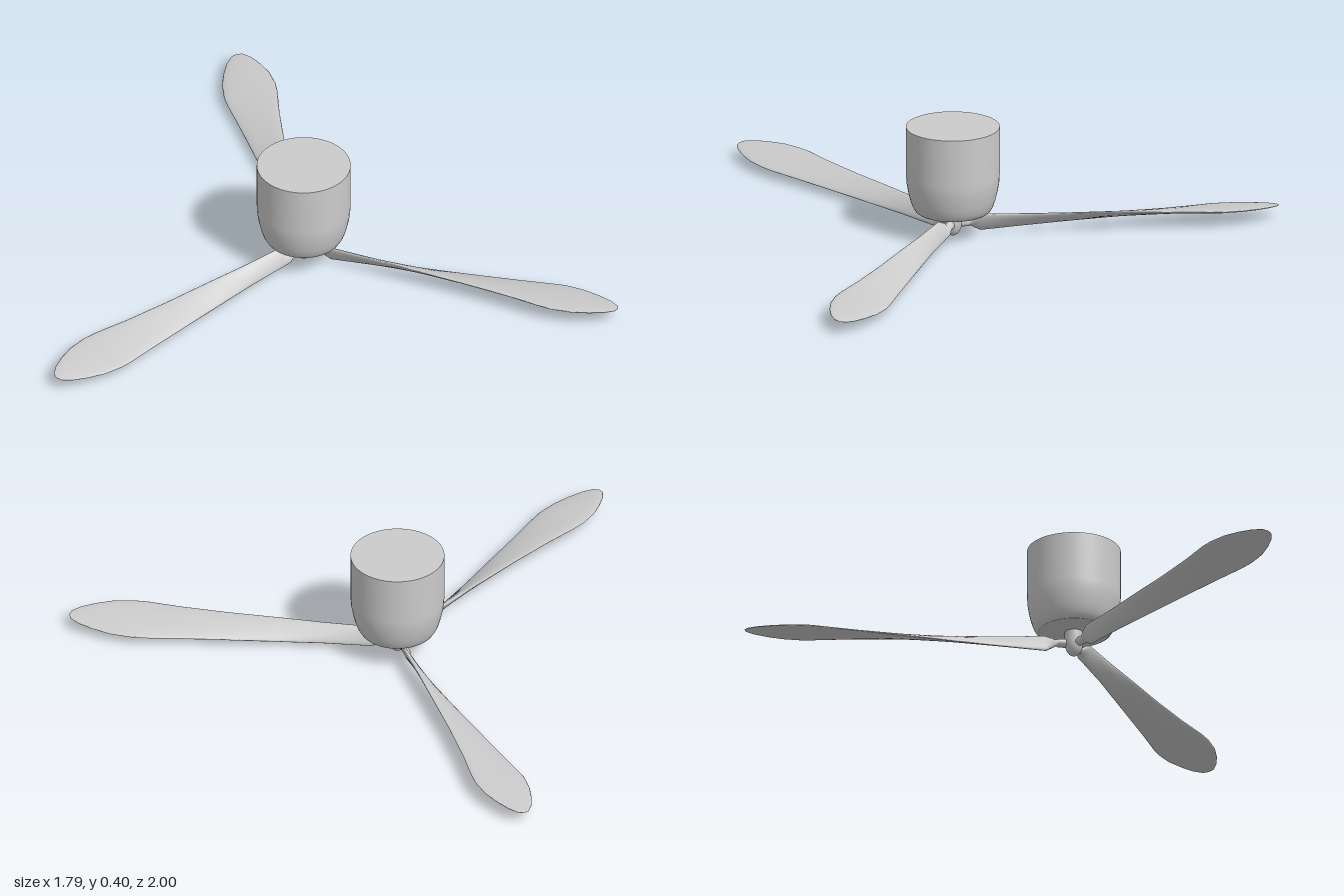
import * as THREE from 'three';

const material = new THREE.MeshStandardMaterial({ color: 0xcccccc });
const AXIS_Y = 0.045; // height of the blade axis

// Blade stations: distance from hub, trailing/leading edge offsets,
// half rise of the chord (pitch), half thickness
const STATIONS = [
  [0.0, -0.015, 0.015, 0.0, 0.015],
  [0.055, -0.015, 0.015, 0.0, 0.015],
  [0.075, -0.018, 0.012, 0.022, 0.012],
  [0.098, -0.022, 0.002, 0.033, 0.009],
  [0.26, -0.041, 0.007, 0.028, 0.009],
  [0.42, -0.062, 0.016, 0.025, 0.009],
  [0.59, -0.083, 0.026, 0.021, 0.009],
  [0.76, -0.109, 0.036, 0.018, 0.009],
  [0.88, -0.133, 0.045, 0.016, 0.009],
  [0.93, -0.139, 0.046, 0.014, 0.009],
  [1.0, -0.135, 0.035, 0.012, 0.008],
  [1.06, -0.119, 0.014, 0.009, 0.007],
  [1.11, -0.098, -0.010, 0.006, 0.005],
  [1.14, -0.076, -0.034, 0.003, 0.003],
  [1.148, -0.055, -0.055, 0.0, 0.0],
];

// Twisted blade lofted through elliptical sections, pointing along -x
function bladeGeometry(sides = 24) {
  const positions = [];
  const indices = [];
  STATIONS.forEach(([u, v0, v1, rise, thick], i) => {
    const mid = (v0 + v1) / 2;
    const half = (v1 - v0) / 2;
    const len = Math.hypot(half, rise) || 1;
    for (let j = 0; j < sides; j++) {
      const a = (j / sides) * Math.PI * 2;
      const c = Math.cos(a);
      const s = (Math.sin(a) * thick) / len;
      positions.push(-u, AXIS_Y - c * rise + s * half, mid + c * half + s * rise);
      if (i < STATIONS.length - 1) {
        const p = i * sides + j;
        const q = i * sides + ((j + 1) % sides);
        indices.push(p, q, p + sides, q, q + sides, p + sides);
      }
    }
  });
  const geometry = new THREE.BufferGeometry();
  geometry.setAttribute('position', new THREE.Float32BufferAttribute(positions, 3));
  geometry.setIndex(indices);
  geometry.computeVertexNormals();
  return geometry;
}

function lathe(name, points, segments = 48) {
  const profile = points.map(([r, y]) => new THREE.Vector2(r, y));
  const mesh = new THREE.Mesh(new THREE.LatheGeometry(profile, segments), material);
  mesh.name = name;
  return mesh;
}

export function createModel() {
  const model = new THREE.Group();
  model.name = 'ceilingFan';
  const fan = new THREE.Group();
  fan.name = 'fan';
  fan.position.set(0.263, 0, -0.019);
  model.add(fan);

  // Motor housing: straight wall rounding in to a flat underside
  fan.add(lathe('motorHousing', [
    [0.122, 0.088], [0.131, 0.094], [0.141, 0.111], [0.149, 0.135],
    [0.156, 0.165], [0.161, 0.195], [0.163, 0.225], [0.163, 0.398],
  ]));
  fan.add(lathe('housingTop', [[0.163, 0.398], [0, 0.398]]));
  fan.add(lathe('housingUnderside', [[0, 0.088], [0.122, 0.088]]));

  // Hub with a rounded nose
  fan.add(lathe('hub', [
    [0, 0], [0.009, 0.002], [0.018, 0.008], [0.025, 0.018],
    [0.03, 0.033], [0.032, 0.05], [0.032, 0.09],
  ], 32));

  // Three twisted blades with round shanks
  const geometry = bladeGeometry();
  for (let i = 0; i < 3; i++) {
    const blade = new THREE.Mesh(geometry, material);
    blade.name = `blade${i + 1}`;
    blade.rotation.y = (i * Math.PI * 2) / 3;
    fan.add(blade);
  }
  return model;
}
